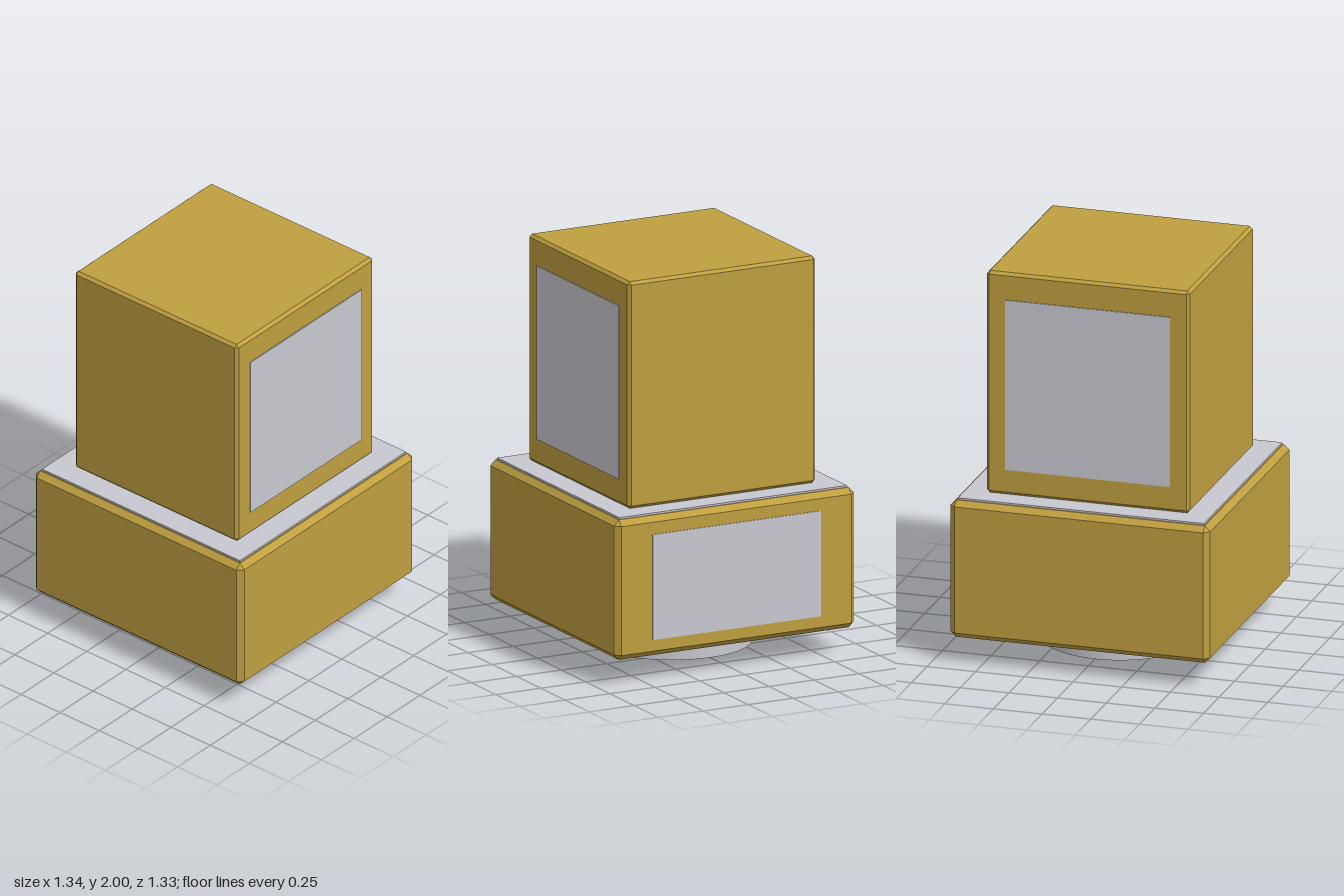
import * as THREE from 'three';
import { ConvexGeometry } from 'three/addons/geometries/ConvexGeometry.js';

const gold = new THREE.MeshStandardMaterial({ name: 'gold', color: 0xbf9f40 });
const silver = new THREE.MeshStandardMaterial({ name: 'silver', color: 0xc8c8d0 });

// Box with every edge and corner bevelled by c
function chamferedBox(w, h, d, c) {
  const points = [];
  for (const sx of [-1, 1]) for (const sy of [-1, 1]) for (const sz of [-1, 1]) {
    for (let axis = 0; axis < 3; axis++) {
      const half = [w / 2 - c, h / 2 - c, d / 2 - c];
      half[axis] += c;
      points.push(new THREE.Vector3(sx * half[0], sy * half[1], sz * half[2]));
    }
  }
  return new ConvexGeometry(points);
}

export function createModel() {
  const model = new THREE.Group();
  model.name = 'stackedBlocks';

  const add = (name, geometry, material, x, y, z) => {
    const mesh = new THREE.Mesh(geometry, material);
    mesh.name = name;
    mesh.position.set(x, y, z);
    model.add(mesh);
  };

  const cx = -0.003;

  // Round foot
  add('foot', new THREE.CylinderGeometry(0.395, 0.395, 0.14, 64), silver, cx, 0.07, 0);

  // Wide base block and tall upper block
  add('baseBlock', chamferedBox(1.333, 0.71, 1.333, 0.028), gold, cx, 0.485, 0);
  add('upperBlock', chamferedBox(1.042, 1.151, 1.042, 0.015), gold, cx, 1.4245, 0);

  // Thin collar between the blocks
  add('collar', new THREE.BoxGeometry(1.264, 0.009, 1.264), silver, cx, 0.8445, 0);

  // Panel on the left side of the base
  add('sidePanel', new THREE.BoxGeometry(0.008, 0.535, 0.933), silver, 0.663, 0.4825, 0);

  // Panels on the front and back of the upper block
  for (const [name, side] of [['frontPanel', 1], ['backPanel', -1]]) {
    add(name, new THREE.BoxGeometry(0.846, 0.88, 0.008), silver, cx, 1.42, side * 0.522);
  }

  return model;
}
